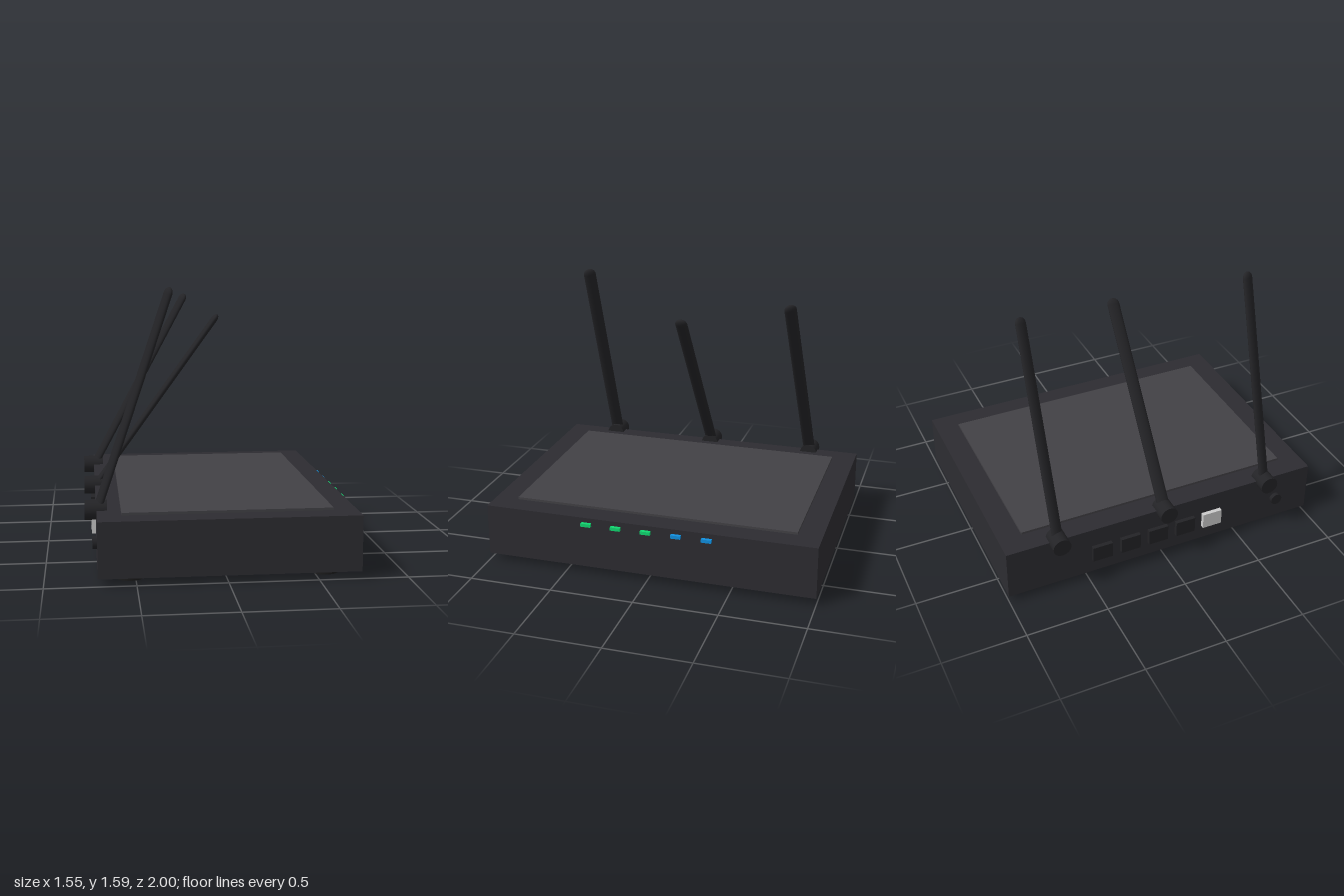
import * as THREE from 'three';

const mat = (color) => new THREE.MeshStandardMaterial({ color });

export function createModel() {
  const group = new THREE.Group();
  const shell = mat(0x2d2c31), panel = mat(0x424145), black = mat(0x232326);
  const rubber = mat(0x1c1c1c), silver = mat(0xbcbcbc), green = mat(0x10d870), blue = mat(0x1090e0);

  const add = (name, geometry, material, x, y, z) => {
    const mesh = new THREE.Mesh(geometry, material);
    mesh.name = name;
    mesh.position.set(x, y, z);
    group.add(mesh);
    return mesh;
  };

  // Housing and raised lid panel
  add('housing', new THREE.BoxGeometry(1.45, 0.315, 2), shell, 0.015, 0.1985, 0);
  add('lidPanel', new THREE.BoxGeometry(1.18, 0.03, 1.715), panel, 0.015, 0.355, 0);

  // Feet
  const footGeometry = new THREE.CylinderGeometry(0.081, 0.081, 0.05, 24);
  for (const x of [-0.53, 0.56])
    for (const z of [-0.825, 0.825]) add('foot', footGeometry, rubber, x, 0.025, z);

  // Status lights just off the +x face
  const lightGeometry = new THREE.BoxGeometry(0.022, 0.02, 0.06);
  for (let i = 0; i < 5; i++)
    add('statusLight', lightGeometry, i < 3 ? green : blue, 0.76, 0.322, 0.364 - i * 0.182);

  // Sockets on the -x face: four dark, one silver, one round power jack
  const portGeometry = new THREE.BoxGeometry(0.04, 0.1, 0.125);
  for (let i = 0; i < 5; i++)
    add(i < 4 ? 'networkPort' : 'uplinkPort', portGeometry, i < 4 ? black : silver, -0.715, 0.185, -0.412 + i * 0.182);
  const jack = new THREE.CylinderGeometry(0.036, 0.036, 0.04, 20).rotateZ(Math.PI / 2);
  add('powerJack', jack, black, -0.715, 0.185, 0.77);

  // Antennas: horizontal pivot barrel plus a flattened paddle leaning toward +x
  const barrel = new THREE.CylinderGeometry(0.055, 0.055, 0.125, 24).rotateZ(Math.PI / 2);
  const up = new THREE.Vector3(0, 1, 0);
  const antennas = [
    { z: 0.682, tip: [-0.292, 1.588, 0.71], twist: 0.42 },
    { z: 0, tip: [0.053, 1.397, 0], twist: 0 },
    { z: -0.682, tip: [-0.094, 1.498, -0.634], twist: 0.42 },
  ];
  for (const { z, tip, twist } of antennas) {
    add('antennaPivot', barrel, black, -0.7125, 0.35, z);
    const base = new THREE.Vector3(-0.705, 0.35, z);
    const axis = new THREE.Vector3(...tip).sub(base);
    const length = axis.length();
    const paddle = new THREE.CapsuleGeometry(0.038, length - 0.076, 8, 24);
    paddle.scale(0.5, 1, 1).translate(0, length / 2, 0).rotateY(twist);
    const mesh = add('antenna', paddle, black, base.x, base.y, base.z);
    mesh.quaternion.setFromUnitVectors(up, axis.normalize());
  }
  return group;
}
